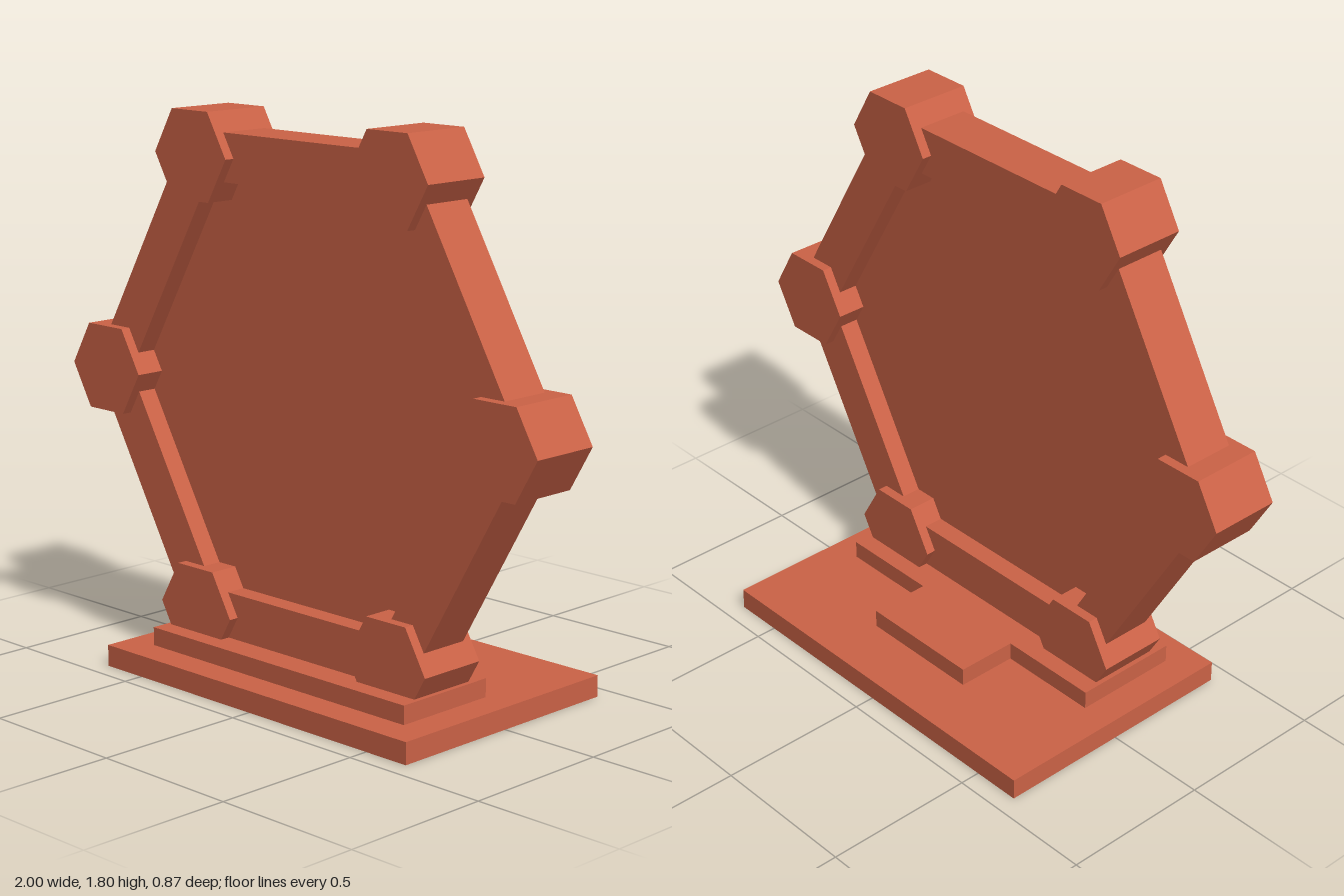
import * as THREE from 'three';

const CENTER_Y = 0.93;
const RING_Z = 0.15;

// Regular hexagon with corners pointing along x
function hexPoints(radius) {
  return Array.from({ length: 6 }, (_, i) => {
    const a = (i * Math.PI) / 3;
    return new THREE.Vector2(radius * Math.cos(a), radius * Math.sin(a));
  });
}

// Hexagonal prism along z, centred on its depth, with an optional hexagonal hole
function hexPrism(radius, depth, holeRadius = 0) {
  const shape = new THREE.Shape(hexPoints(radius));
  if (holeRadius) shape.holes.push(new THREE.Path(hexPoints(holeRadius).reverse()));
  const geometry = new THREE.ExtrudeGeometry(shape, { depth, bevelEnabled: false });
  return geometry.translate(0, 0, -depth / 2);
}

export function createModel() {
  const model = new THREE.Group();
  model.name = 'hexagonalPortal';
  const material = new THREE.MeshStandardMaterial({ color: 0xcc6347, flatShading: true });

  function add(name, geometry, x, y, z) {
    const mesh = new THREE.Mesh(geometry, material);
    mesh.name = name;
    mesh.position.set(x, y, z);
    model.add(mesh);
  }

  // Stepped base: slab, raised plinth and rear step
  add('baseSlab', new THREE.BoxGeometry(1.32, 0.07, 0.866), 0, 0.035, 0);
  add('plinth', new THREE.BoxGeometry(1.108, 0.06, 0.36), 0, 0.1, RING_Z);
  add('rearStep', new THREE.BoxGeometry(0.422, 0.06, 0.204), 0, 0.1, -0.132);

  // Hexagonal frame and the thin panel that fills it
  add('frame', hexPrism(0.928, 0.172, 0.752), 0, CENTER_Y, RING_Z);
  add('panel', hexPrism(0.8, 0.04), 0, CENTER_Y, RING_Z);

  // Hexagonal block on each corner of the frame
  const block = hexPrism(0.161, 0.238);
  hexPoints(0.839).forEach((p, i) => {
    add(`cornerBlock${i + 1}`, block, p.x, CENTER_Y + p.y, RING_Z);
  });

  return model;
}
